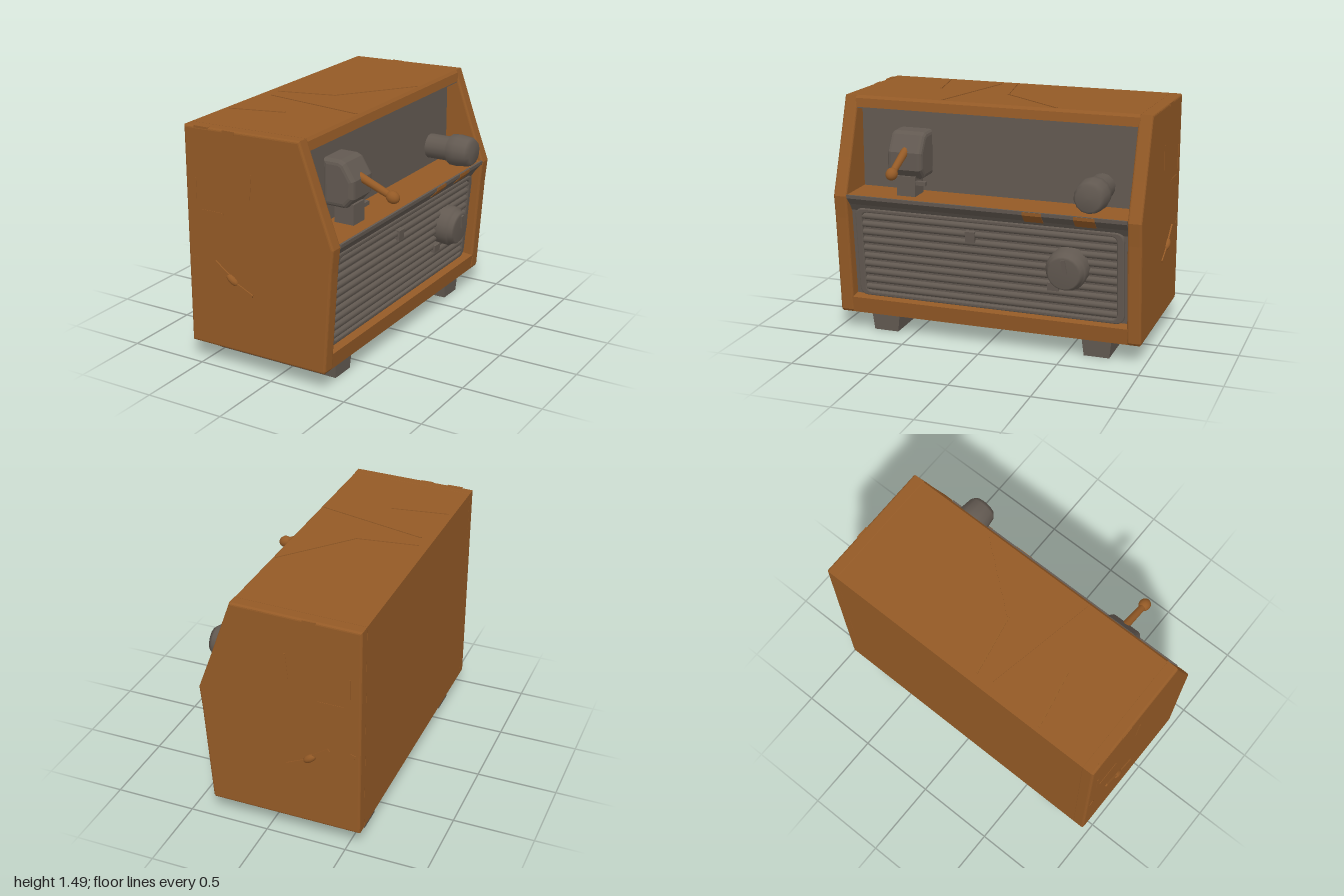
import * as THREE from 'three';

export function createModel() {
  const model = new THREE.Group();
  const wood = new THREE.MeshStandardMaterial({ name: 'brownWood', color: 0x945a26 });
  const metal = new THREE.MeshStandardMaterial({ name: 'greyMetal', color: 0x625951 });

  const add = (parent, name, geo, mat, x = 0, y = 0, z = 0) => {
    const m = new THREE.Mesh(geo, mat);
    m.name = name;
    m.position.set(x, y, z);
    parent.add(m);
    return m;
  };
  const outline = (pts) => new THREE.Shape(pts.map(([x, y]) => new THREE.Vector2(x, y)));
  // Side profile (x, y) extruded along z, centred on z = 0
  const slab = (pts, width, bevel = 0) => {
    const g = new THREE.ExtrudeGeometry(outline(pts), {
      depth: width - 2 * bevel, bevelEnabled: bevel > 0, bevelSize: bevel,
      bevelThickness: bevel, bevelOffset: -bevel, bevelSegments: 3,
    });
    return g.translate(0, 0, -width / 2 + bevel);
  };
  const roundRect = (w, h, r, target) => {
    const x = w / 2, y = h / 2;
    target.moveTo(-x + r, -y);
    target.lineTo(x - r, -y); target.quadraticCurveTo(x, -y, x, -y + r);
    target.lineTo(x, y - r); target.quadraticCurveTo(x, y, x - r, y);
    target.lineTo(-x + r, y); target.quadraticCurveTo(-x, y, -x, y - r);
    target.lineTo(-x, -y + r); target.quadraticCurveTo(-x, -y, -x + r, -y);
    return target;
  };

  // Cabinet: C-shaped core between two thick side walls
  const core = [[-0.58, 0.12], [0.35, 0.12], [0.365, 0.222], [0.275, 0.232], [0.33, 0.82], [0.41, 0.9],
    [0.14, 0.9], [0.14, 1.415], [0.222, 1.415], [0.215, 1.47], [0.2, 1.487], [-0.58, 1.47]];
  add(model, 'cabinetCore', slab(core, 1.8), wood);
  const side = [[-0.58, 0.12], [0.35, 0.12], [0.36, 0.135], [0.405, 0.75], [0.42, 0.89], [0.335, 1.12],
    [0.205, 1.487], [-0.58, 1.47]];
  for (const s of [-1, 1]) {
    add(model, 'sideWall', slab(side, 0.087, 0.014), wood, 0, 0, s * 0.932);
    // Gouged scar on each side
    const scar = new THREE.Group();
    scar.name = 'sideScar';
    scar.position.set(-0.27, 0.575, s * 0.975);
    scar.rotation.z = -0.62;
    add(scar, 'scarRidge', new THREE.BoxGeometry(0.16, 0.022, 0.02), wood, -0.07, 0.005, 0);
    add(scar, 'scarLump', new THREE.SphereGeometry(0.04, 10, 6).scale(1.2, 0.6, 0.6), wood);
    add(scar, 'scarTail', new THREE.BoxGeometry(0.12, 0.016, 0.016), wood, 0.1, 0.012, 0).rotation.z = 0.18;
    model.add(scar);
    // Shallow splinter plates on the side
    for (const [x, y, w, h, r] of [[-0.13, 1.16, 0.012, 0.16, -0.1], [-0.4, 0.97, 0.16, 0.012, 0],
      [-0.51, 1.08, 0.01, 0.16, 0], [-0.53, 0.655, 0.035, 0.03, 0.3]]) {
      add(model, 'sideSplinter', new THREE.BoxGeometry(w, h, 0.006), wood, x, y, s * 0.975).rotation.z = r;
    }
    // Tapered foot rail
    const foot = new THREE.BoxGeometry(0.85, 0.13, 0.19);
    const p = foot.attributes.position;
    for (let i = 0; i < p.count; i++) {
      if (p.getY(i) < 0) p.setXYZ(i, p.getX(i) * 0.985, p.getY(i), p.getZ(i) * 0.84);
    }
    foot.computeVertexNormals();
    add(model, 'footRail', foot, metal, -0.115, 0.065, s * 0.69);
  }
  // Splinters along the top edges
  for (const [x, z, w] of [[-0.27, 0.965, 0.08], [-0.27, -0.965, 0.08], [0.08, -0.962, 0.16], [-0.46, 0.962, 0.1]]) {
    add(model, 'topSplinter', new THREE.BoxGeometry(w, 0.02, 0.025), wood, x, 1.465, z);
  }
  // Long creases across the sloping top, each from (x, z) to (x, z)
  for (const [x0, z0, x1, z1] of [[-0.52, 0.1, -0.15, 0.03], [-0.15, 0.03, 0.19, -0.39], [-0.5, 0.2, 0.19, 0.34],
    [-0.55, 0.57, -0.2, 0.5]]) {
    const xm = (x0 + x1) / 2, yaw = -Math.atan2(z1 - z0, x1 - x0);
    const crease = add(model, 'topCrease', new THREE.BoxGeometry(Math.hypot(x1 - x0, z1 - z0), 0.008, 0.012), wood,
      xm, 1.471 + (xm + 0.58) * 0.0218, (z0 + z1) / 2);
    crease.rotation.set(0, yaw, 0.0218 * Math.cos(yaw), 'YZX');
  }

  // Upper recess lining
  add(model, 'recessBack', new THREE.BoxGeometry(0.008, 0.515, 1.775), metal, 0.143, 1.157, 0);
  add(model, 'recessCeiling', new THREE.BoxGeometry(0.075, 0.008, 1.775), metal, 0.18, 1.411, 0);

  // Sloped lip below the shelf, with bare patches
  const lip = [[0.31, 0.79], [0.345, 0.79], [0.375, 0.835], [0.418, 0.88], [0.42, 0.902], [0.407, 0.902], [0.32, 0.86]];
  add(model, 'shelfLip', slab(lip, 1.775), metal);
  for (const [z, w] of [[-0.31, 0.12], [-0.63, 0.13]]) {
    const patch = [[0.366, 0.832], [0.373, 0.828], [0.421, 0.879], [0.423, 0.9], [0.412, 0.9]];
    add(model, 'barePatch', slab(patch, w), wood, 0, 0, z);
  }

  // Speaker grille, recessed and leaning with the front
  const grille = new THREE.Group();
  grille.name = 'speakerGrille';
  grille.position.set(0.312, 0.52, 0);
  grille.rotation.set(0.09, Math.PI / 2, 0, 'YXZ');
  model.add(grille);
  add(grille, 'grilleBacking', new THREE.BoxGeometry(1.775, 0.585, 0.012), metal);
  const rim = roundRect(1.72, 0.585, 0.06, new THREE.Shape());
  rim.holes.push(roundRect(1.63, 0.53, 0.04, new THREE.Path()));
  add(grille, 'grilleRim', new THREE.ExtrudeGeometry(rim, {
    depth: 0.02, bevelEnabled: true, bevelSize: 0.008, bevelThickness: 0.008, bevelOffset: -0.008, bevelSegments: 2,
  }), metal);
  const slat = new THREE.CylinderGeometry(0.02, 0.02, 1.63, 10).rotateZ(Math.PI / 2);
  for (let i = 0; i < 10; i++) add(grille, 'grilleSlat', slat, metal, 0, -0.238 + i * 0.053, 0.008);
  add(grille, 'grilleNub', new THREE.BoxGeometry(0.06, 0.07, 0.045), metal, -0.1, 0.175, 0.015);
  add(grille, 'grilleChip', new THREE.BoxGeometry(0.07, 0.05, 0.045), metal, 0.42, -0.09, 0.015);

  // Turned knobs, axis along local z
  const knob = (pts, n) => new THREE.LatheGeometry(pts.map(([r, z]) => new THREE.Vector2(r, z)), n).rotateX(Math.PI / 2);
  add(grille, 'tuningKnob', knob([[0.128, 0], [0.128, 0.082], [0.12, 0.097], [0.112, 0.102], [0.106, 0.128],
    [0.094, 0.138], [0, 0.138]], 20), metal, 0.52, 0.045, 0);
  const pointer = add(grille, 'tuningPointer', new THREE.BoxGeometry(0.025, 0.085, 0.02), metal, 0.525, 0.092, 0.138);
  pointer.rotation.z = 0.15;

  const volume = add(model, 'volumeKnob', knob([[0.08, 0], [0.08, 0.15], [0.1, 0.17], [0.104, 0.22],
    [0.094, 0.3], [0.076, 0.325], [0, 0.328]], 14), metal, 0.14, 1.025, -0.665);
  volume.rotation.y = Math.PI / 2;

  // Switch housing with bracket and lever
  const housing = [[0.14, 1.01], [0.29, 1.01], [0.345, 1.07], [0.348, 1.18], [0.285, 1.28], [0.25, 1.295], [0.14, 1.295]];
  add(model, 'switchHousing', slab(housing, 0.228, 0.03), metal, 0, 0, 0.53);
  add(model, 'switchBracket', new THREE.BoxGeometry(0.13, 0.13, 0.12), metal, 0.255, 0.96, 0.53);
  add(model, 'bracketPin', new THREE.BoxGeometry(0.03, 0.025, 0.07), metal, 0.3, 0.985, 0.44);
  const from = new THREE.Vector3(0.3, 1.195, 0.53), to = new THREE.Vector3(0.55, 1.09, 0.525);
  const dir = to.clone().sub(from).normalize();
  const turn = new THREE.Quaternion().setFromUnitVectors(new THREE.Vector3(0, 1, 0), dir);
  const lever = add(model, 'switchLever', new THREE.CylinderGeometry(0.021, 0.026, from.distanceTo(to), 12), wood);
  lever.position.copy(from).lerp(to, 0.5);
  lever.quaternion.copy(turn);
  const tip = add(model, 'leverTip', new THREE.SphereGeometry(0.037, 14, 10), wood, 0.54, 1.094, 0.525);
  tip.scale.set(1, 1.15, 1);
  tip.quaternion.copy(turn);

  return model;
}
